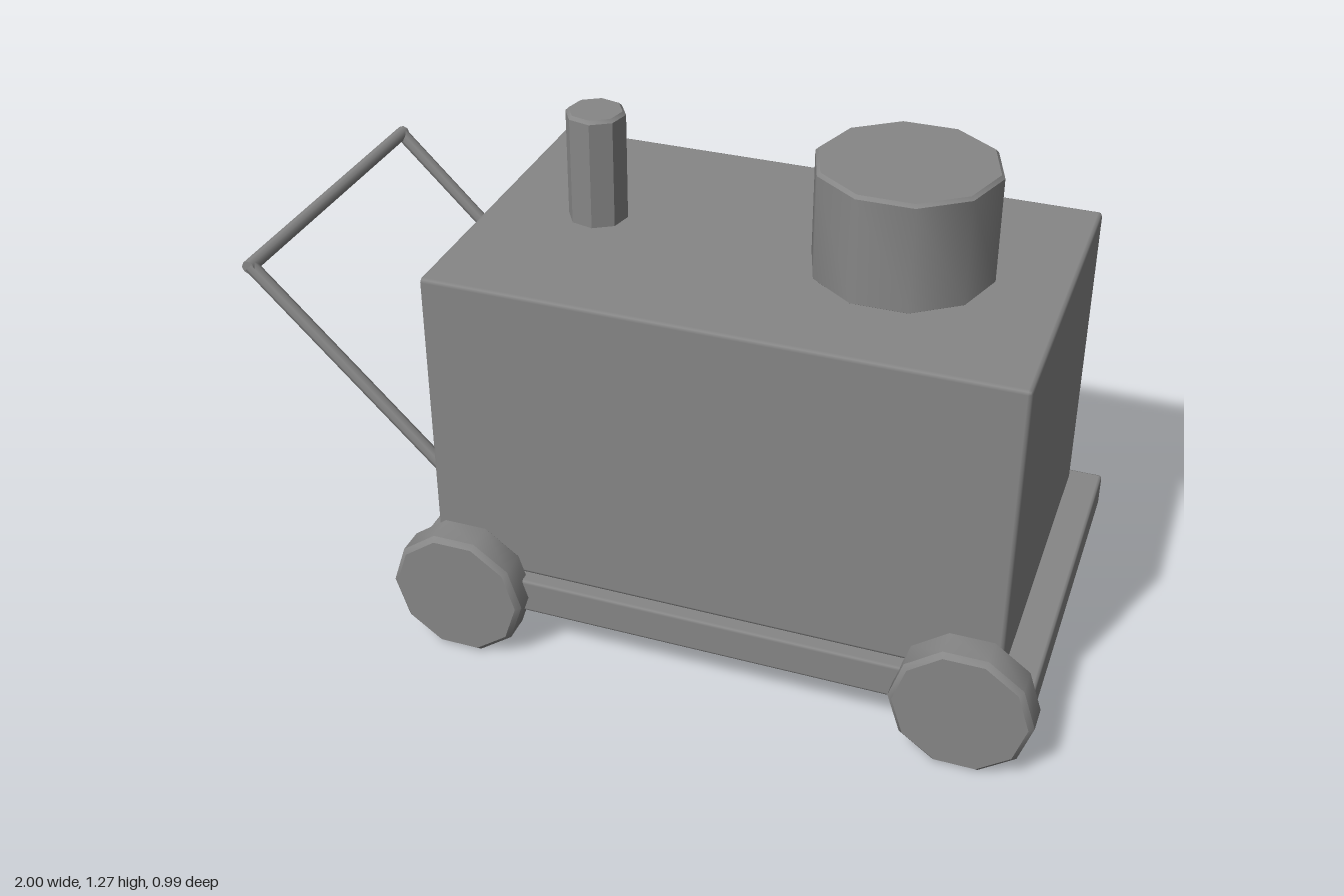
import * as THREE from 'three';
import { toCreasedNormals } from 'three/addons/utils/BufferGeometryUtils.js';
import { RoundedBoxGeometry } from 'three/addons/geometries/RoundedBoxGeometry.js';

export function createModel() {
  const group = new THREE.Group();
  const grey = new THREE.MeshStandardMaterial({ color: 0x868686 });
  grey.name = 'grey metal';

  const add = (name, geometry) => {
    const mesh = new THREE.Mesh(geometry, grey);
    mesh.name = name;
    group.add(mesh);
    return mesh;
  };

  // Box given by its min and max corners, with a small bevel
  const box = (name, a, b, bevel) => {
    const size = a.map((v, i) => b[i] - v);
    add(name, new RoundedBoxGeometry(...size, 1, bevel))
      .position.set(...a.map((v, i) => (v + b[i]) / 2));
  };

  // Low-sided drum with bevelled rims, centred on its own axis (y)
  const drum = (radius, height, sides, bevel, turn) => {
    const h = height / 2;
    const profile = [
      [0, -h], [radius - bevel, -h], [radius, -h + bevel],
      [radius, h - bevel], [radius - bevel, h], [0, h],
    ].map(([x, y]) => new THREE.Vector2(x, y));
    return toCreasedNormals(new THREE.LatheGeometry(profile, sides).rotateY(turn), 0.7);
  };

  // Thin round bar between two points
  const rod = (name, a, b) => {
    const dir = b.clone().sub(a);
    const mesh = add(name, new THREE.CylinderGeometry(0.017, 0.017, dir.length(), 8));
    mesh.position.copy(a).lerp(b, 0.5);
    mesh.quaternion.setFromUnitVectors(new THREE.Vector3(0, 1, 0), dir.normalize());
  };

  // Base plate and main housing
  box('basePlate', [-0.59, 0.122, -0.492], [0.98, 0.214, 0.44], 0.008);
  box('housing', [-0.512, 0.214, -0.455], [0.9, 1, 0.408], 0.01);

  // Tank and exhaust pipe on the roof
  add('roofTank', drum(0.218, 0.275, 10, 0.008, Math.PI / 2)).position.set(0.51, 1.13, -0.025);
  add('exhaustPipe', drum(0.073, 0.285, 8, 0.008, 0.16)).position.set(-0.245, 1.134, -0.025);

  // Two wheels along the front side
  for (const [name, x] of [['rightWheel', -0.435], ['leftWheel', 0.827]]) {
    const wheel = drum(0.171, 0.092, 10, 0.012, Math.PI / 2).rotateX(Math.PI / 2);
    add(name, wheel).position.set(x, 0.166, 0.449);
  }

  // Push handle: two slanted arms and a crossbar
  const zs = [-0.42, 0.365];
  const tops = zs.map((z) => new THREE.Vector3(-0.984, 0.923, z));
  zs.forEach((z, i) => rod('handleArm', new THREE.Vector3(-0.51, 0.452, z), tops[i]));
  rod('handleBar', tops[0].clone().setZ(-0.432), tops[1].clone().setZ(0.377));

  return group;
}
